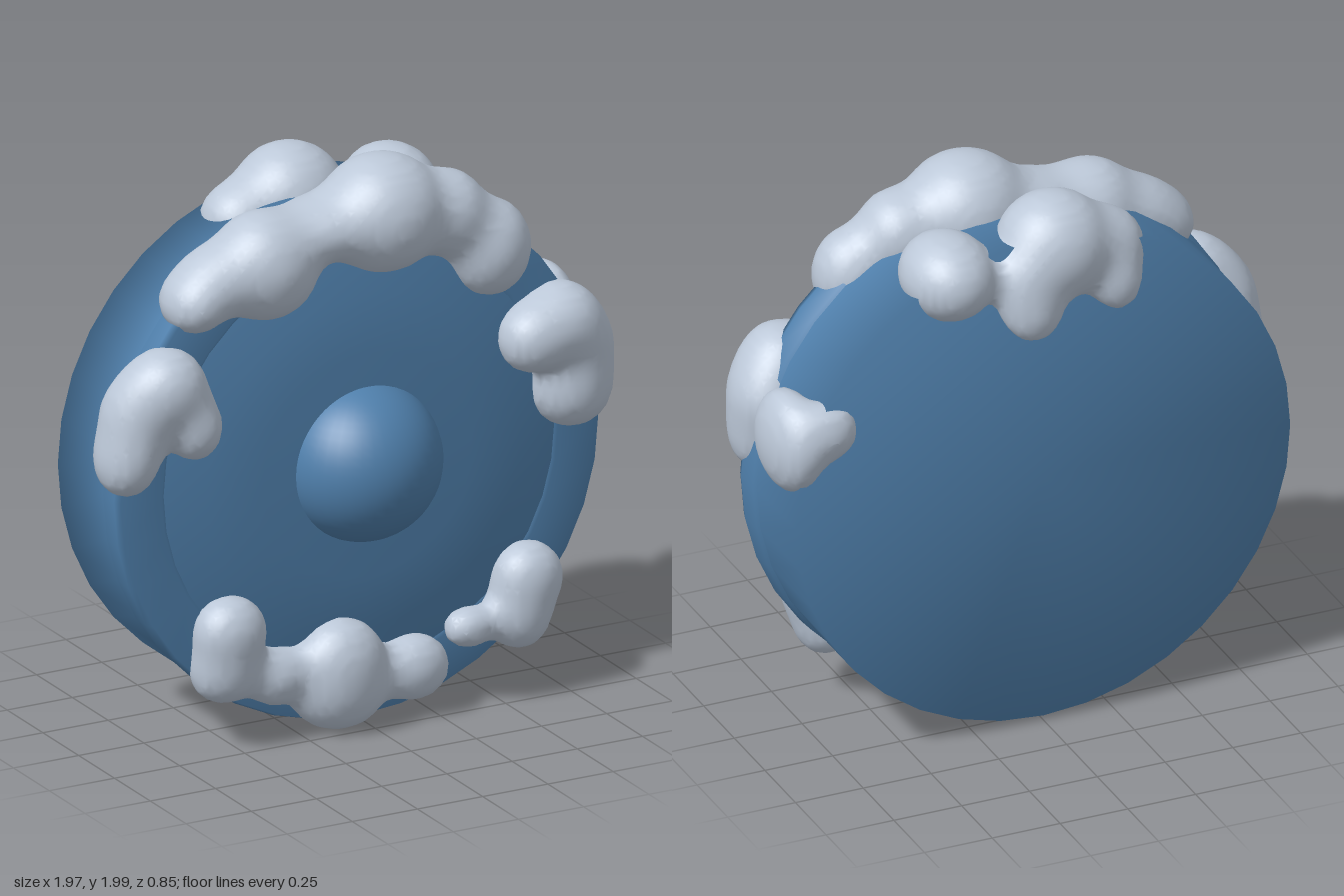
import * as THREE from 'three';

const blue = new THREE.MeshStandardMaterial({ color: 0x4f7fab });
blue.name = 'blue paint';
const white = new THREE.MeshStandardMaterial({ color: 0xbcc8d8 });
white.name = 'snow';

const CENTER_Y = 0.935;

// Disc-like part turned around the z axis from [radius, z] points, back to front
function turned(name, profile, segments = 36) {
  const geo = new THREE.LatheGeometry(profile.map(p => new THREE.Vector2(...p)), segments);
  geo.rotateX(Math.PI / 2);
  const mesh = new THREE.Mesh(geo, blue);
  mesh.name = name;
  mesh.position.y = CENTER_Y;
  return mesh;
}

// Smooth union of ellipsoids [x, y, z, rx, ry, rz]
function blobField(blobs, x, y, z) {
  const k = 0.07;
  let d = 10;
  for (const [cx, cy, cz, rx, ry, rz] of blobs) {
    const e = (Math.hypot((x - cx) / rx, (y - cy) / ry, (z - cz) / rz) - 1) * Math.min(rx, ry, rz);
    const h = Math.max(k - Math.abs(d - e), 0) / k;
    d = Math.min(d, e) - h * h * k / 4;
  }
  return d;
}

// Melted-together blobs, meshed on a grid by surface nets
function snow(name, blobs) {
  const step = 0.026, lo = [], n = [];
  for (let a = 0; a < 3; a++) {
    lo[a] = Math.min(...blobs.map(b => b[a] - b[a + 3])) - 0.08;
    n[a] = Math.ceil((Math.max(...blobs.map(b => b[a] + b[a + 3])) + 0.08 - lo[a]) / step) + 1;
  }
  const stride = [1, n[0], n[0] * n[1]];
  const value = new Float32Array(n[0] * n[1] * n[2]);
  const eachPoint = fn => {
    for (let k = 0; k < n[2]; k++)
      for (let j = 0; j < n[1]; j++)
        for (let i = 0; i < n[0]; i++) fn([i, j, k], i + j * stride[1] + k * stride[2]);
  };
  eachPoint((p, id) => {
    value[id] = blobField(blobs, ...p.map((c, a) => lo[a] + c * step));
  });

  // One vertex per crossed cell, at the mean of its edge crossings
  const positions = [], index = [], cellVertex = new Map();
  eachPoint((p, id) => {
    if (p.some((c, a) => c >= n[a] - 1)) return;
    const sum = [0, 0, 0];
    let count = 0;
    for (let c = 0; c < 8; c++) {
      const o = [c & 1, (c >> 1) & 1, (c >> 2) & 1];
      const start = id + o[0] + o[1] * stride[1] + o[2] * stride[2];
      for (let a = 0; a < 3; a++) {
        if (o[a]) continue;
        const u = value[start], v = value[start + stride[a]];
        if ((u < 0) === (v < 0)) continue;
        for (let b = 0; b < 3; b++) sum[b] += o[b] + (b === a ? u / (u - v) : 0);
        count++;
      }
    }
    if (!count) return;
    cellVertex.set(id, positions.length / 3);
    positions.push(...sum.map((s, a) => lo[a] + (p[a] + s / count) * step));
  });

  // One quad around every crossed grid edge
  eachPoint((p, id) => {
    for (let a = 0; a < 3; a++) {
      if (p[a] >= n[a] - 1) continue;
      const inside = value[id] < 0;
      if (inside === (value[id + stride[a]] < 0)) continue;
      const sb = stride[(a + 1) % 3], sc = stride[(a + 2) % 3];
      const q = [id, id - sb, id - sb - sc, id - sc].map(c => cellVertex.get(c));
      if (!inside) q.reverse();
      index.push(q[0], q[1], q[2], q[0], q[2], q[3]);
    }
  });
  const geo = new THREE.BufferGeometry();
  geo.setAttribute('position', new THREE.Float32BufferAttribute(positions, 3));
  geo.setIndex(index);
  geo.computeVertexNormals();
  const mesh = new THREE.Mesh(geo, white);
  mesh.name = name;
  return mesh;
}

export function createModel() {
  const model = new THREE.Group();
  model.name = 'snowyDisc';

  // Thick drum, front rim, shallow face and round boss
  model.add(turned('drum', [[0, -0.31], [0.91, -0.31], [0.91, 0.03]]));
  model.add(turned('frontRim', [[0.89, 0], [0.92, 0.025], [0.925, 0.11], [0.915, 0.14], [0.76, 0.142], [0.74, 0.13]]));
  model.add(turned('frontFace', [[0.75, 0.135], [0.6, 0.17], [0.4, 0.195], [0, 0.2]]));
  const boss = new THREE.Mesh(new THREE.SphereGeometry(0.28, 40, 28), blue);
  boss.name = 'boss';
  boss.position.set(0, CENTER_Y + 0.005, 0.145);
  model.add(boss);

  // Snow along the top front edge
  model.add(snow('topFrontSnow', [
    [0.11, 1.79, 0.09, 0.22, 0.205, 0.21],
    [-0.12, 1.77, 0.08, 0.16, 0.11, 0.16],
    [-0.34, 1.68, 0.09, 0.19, 0.19, 0.18],
    [-0.52, 1.65, 0.08, 0.13, 0.12, 0.14],
    [-0.62, 1.59, 0.09, 0.1, 0.1, 0.13],
    [0.35, 1.75, 0.1, 0.14, 0.15, 0.15],
    [0.5, 1.61, 0.13, 0.145, 0.17, 0.14],
  ]));

  // Snow over the top back edge
  model.add(snow('topBackSnow', [
    [-0.07, 1.77, -0.23, 0.2, 0.195, 0.19],
    [-0.26, 1.72, -0.22, 0.14, 0.14, 0.14],
    [0.06, 1.68, -0.29, 0.12, 0.13, 0.12],
    [0.05, 1.58, -0.34, 0.09, 0.09, 0.08],
    [-0.27, 1.62, -0.31, 0.08, 0.09, 0.08],
    [0.32, 1.74, -0.23, 0.16, 0.15, 0.19],
  ]));

  // Snow on the two sides
  model.add(snow('rightSideSnow', [
    [-0.75, 1.33, 0.15, 0.14, 0.14, 0.14],
    [-0.66, 1.19, 0.18, 0.095, 0.12, 0.11],
    [-0.85, 1.22, 0.12, 0.12, 0.16, 0.13],
    [-0.89, 1.08, 0.12, 0.1, 0.12, 0.12],
  ]));
  model.add(snow('leftSideSnow', [
    [0.63, 1.28, 0.2, 0.12, 0.12, 0.12],
    [0.75, 1.31, 0.17, 0.14, 0.14, 0.15],
    [0.83, 1.21, 0.14, 0.12, 0.14, 0.15],
    [0.8, 1.07, 0.15, 0.145, 0.145, 0.14],
  ]));
  model.add(snow('leftBackSnow', [
    [0.88, 1.21, -0.18, 0.1, 0.18, 0.18],
    [0.77, 1.27, -0.28, 0.09, 0.1, 0.08],
  ]));

  // Snow along the bottom front edge
  model.add(snow('bottomRightSnow', [
    [-0.52, 0.42, 0.18, 0.13, 0.13, 0.11],
    [-0.53, 0.28, 0.16, 0.12, 0.11, 0.11],
    [-0.34, 0.23, 0.17, 0.11, 0.1, 0.09],
    [-0.1, 0.23, 0.19, 0.16, 0.17, 0.13],
    [-0.1, 0.13, 0.17, 0.16, 0.12, 0.12],
    [0.18, 0.175, 0.18, 0.13, 0.115, 0.1],
  ]));
  model.add(snow('bottomLeftSnow', [
    [0.4, 0.28, 0.18, 0.095, 0.07, 0.07],
    [0.62, 0.42, 0.18, 0.125, 0.125, 0.11],
    [0.59, 0.29, 0.17, 0.11, 0.12, 0.11],
  ]));
  return model;
}
